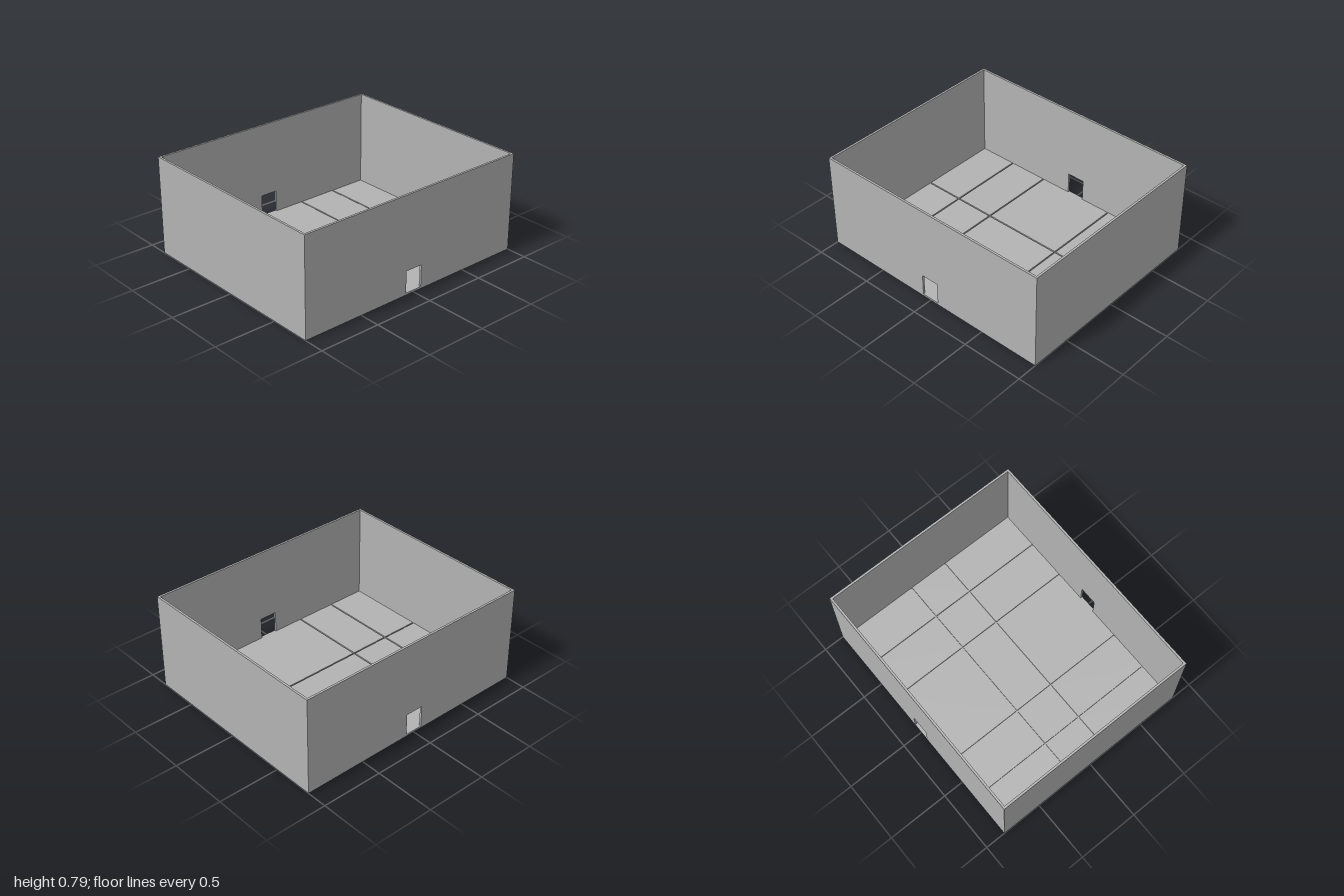
import * as THREE from 'three';

export function createModel() {
  const model = new THREE.Group();
  model.name = 'openRoom';
  const grey = new THREE.MeshStandardMaterial({ color: 0xb3b3b3 });
  grey.name = 'plainGrey';

  const X = 1, Z = 0.833, H = 0.79;         // half width, half depth, height
  const wall = 0.017, base = 0.005, floorTop = 0.016;
  const groove = 0.01;
  const doorHalf = 0.073, doorTop = 0.193;

  function add(name, geometry, x, y, z, parent = model) {
    const mesh = new THREE.Mesh(geometry, grey);
    mesh.name = name;
    mesh.position.set(x, y, z);
    parent.add(mesh);
    return mesh;
  }

  // Thin plate under the whole room
  add('basePlate', new THREE.BoxGeometry(2 * X, base, 2 * Z), 0, base / 2, 0);

  // Floor panels separated by narrow grooves
  const floor = new THREE.Group();
  floor.name = 'floorPanels';
  model.add(floor);
  const xCuts = [-X + wall, -0.667, -0.333, 0.333, 0.667, X - wall];
  const zCuts = [-Z + wall, -0.167, 0.167, Z - wall];
  const span = (cuts, i) => {
    const a = cuts[i] + (i > 0 ? groove / 2 : 0);
    const b = cuts[i + 1] - (i + 2 < cuts.length ? groove / 2 : 0);
    return [b - a, (a + b) / 2];
  };
  for (let i = 0; i < xCuts.length - 1; i++) {
    for (let j = 0; j < zCuts.length - 1; j++) {
      const [w, x] = span(xCuts, i);
      const [d, z] = span(zCuts, j);
      add('floorPanel', new THREE.BoxGeometry(w, floorTop - base, d), x, (floorTop + base) / 2, z, floor);
    }
  }

  // Solid side walls
  for (const s of [1, -1]) {
    add(s > 0 ? 'leftWall' : 'rightWall', new THREE.BoxGeometry(wall, H - base, 2 * Z),
      s * (X - wall / 2), (H + base) / 2, 0);
  }

  // Front and back walls, each with a doorway
  const w = X - wall;
  const outline = new THREE.Shape([
    new THREE.Vector2(-w, base), new THREE.Vector2(w, base),
    new THREE.Vector2(w, H), new THREE.Vector2(-w, H),
  ]);
  outline.holes.push(new THREE.Path([
    new THREE.Vector2(-doorHalf, floorTop), new THREE.Vector2(-doorHalf, doorTop),
    new THREE.Vector2(doorHalf, doorTop), new THREE.Vector2(doorHalf, floorTop),
  ]));
  const doorWall = new THREE.ExtrudeGeometry(outline, { depth: wall, bevelEnabled: false });
  add('frontWall', doorWall, 0, 0, Z - wall);
  add('backWall', doorWall, 0, 0, -Z);

  return model;
}
